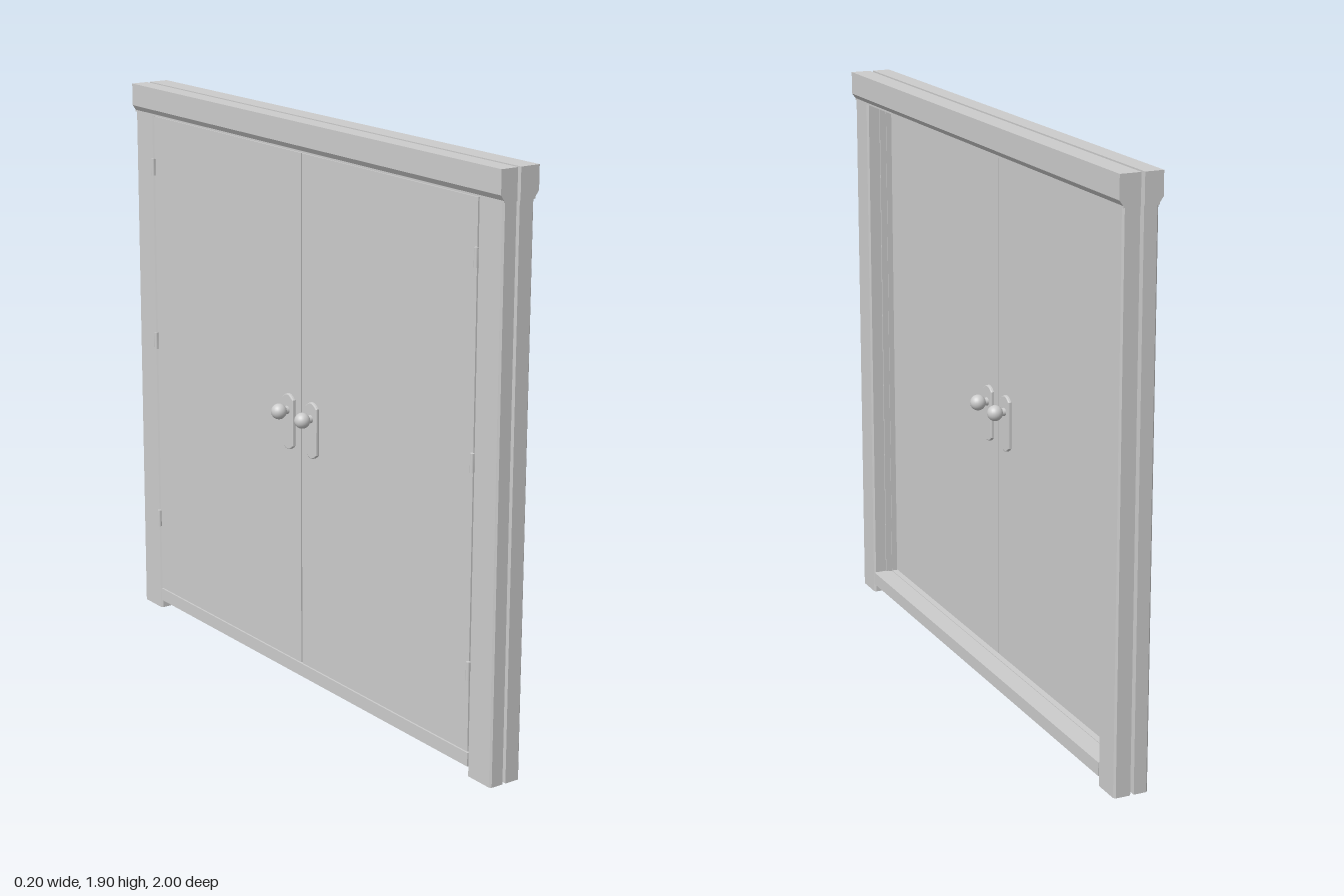
import * as THREE from 'three';

const grey = new THREE.MeshStandardMaterial({ color: 0xcccccc });

function add(parent, name, geometry, x = 0, y = 0, z = 0) {
  const mesh = new THREE.Mesh(geometry, grey);
  mesh.name = name;
  mesh.position.set(x, y, z);
  parent.add(mesh);
  return mesh;
}

// Box given by its limits on each axis
function block(parent, name, [x0, x1], [y0, y1], [z0, z1]) {
  return add(parent, name, new THREE.BoxGeometry(x1 - x0, y1 - y0, z1 - z0),
    (x0 + x1) / 2, (y0 + y1) / 2, (z0 + z1) / 2);
}

function polygon(points) {
  return new THREE.Shape(points.map(([x, y]) => new THREE.Vector2(x, y)));
}

// Hollow upright: chamfered section in x/z, open at the foot
function postGeometry(x0, x1, inner, outerIsRight, side) {
  const c = 0.006, end = 0.997;
  const section = outerIsRight
    ? [[x0, inner], [x1 - c, inner], [x1, inner + c], [x1, end - c], [x1 - c, end], [x0, end]]
    : [[x0 + c, inner], [x1, inner], [x1, end], [x0 + c, end], [x0, end - c], [x0, inner + c]];
  const shape = polygon(section.map(([x, z]) => [x, z * -side]));
  const solid = new THREE.ExtrudeGeometry(shape, { depth: 1.82, bevelEnabled: false });
  const walls = solid.groups[1];
  const open = new THREE.BufferGeometry();
  for (const key of ['position', 'normal', 'uv']) {
    const a = solid.attributes[key], n = a.itemSize;
    const part = a.array.slice(walls.start * n, (walls.start + walls.count) * n);
    open.setAttribute(key, new THREE.BufferAttribute(part, n));
  }
  return open.rotateX(-Math.PI / 2);
}

// Handle plate with arched ends, lying in x/y and centred
function plateGeometry() {
  const w = 0.031, h = 0.078, tip = 0.111;
  const s = new THREE.Shape();
  s.moveTo(-w, -h);
  s.quadraticCurveTo(0, -tip, w, -h);
  s.lineTo(w, h);
  s.quadraticCurveTo(0, tip, -w, h);
  s.closePath();
  return new THREE.ExtrudeGeometry(s, {
    depth: 0.006, bevelEnabled: true, bevelThickness: 0.004, bevelSize: 0.003,
    bevelOffset: -0.003, bevelSegments: 2, curveSegments: 8,
  });
}

// Plate, stem and ball; built facing +z, then turned towards +x or -x
function handle(facing) {
  const g = new THREE.Group();
  g.name = 'doorHandle';
  add(g, 'handlePlate', plateGeometry(), 0, -0.04, 0);
  add(g, 'handleStem', new THREE.CylinderGeometry(0.012, 0.014, 0.035, 16).rotateX(Math.PI / 2), 0, 0, 0.02);
  add(g, 'handleKnob', new THREE.SphereGeometry(0.026, 24, 16), 0, 0, 0.043);
  g.rotation.y = facing * Math.PI / 2;
  return g;
}

export function createModel() {
  const model = new THREE.Group();
  model.name = 'doubleDoor';

  // Two casings with a slit between them
  const casings = [
    { x0: -0.03, x1: 0.018, inner: 0.885, right: false,
      lintel: [[-0.03, 1.802], [0.018, 1.802], [0.018, 1.9], [-0.042, 1.9], [-0.042, 1.825], [-0.03, 1.808]] },
    { x0: 0.03, x1: 0.085, inner: 0.893, right: true,
      lintel: [[0.03, 1.802], [0.085, 1.802], [0.085, 1.808], [0.098, 1.825], [0.098, 1.9], [0.03, 1.9]] },
  ];
  for (const c of casings) {
    const casing = new THREE.Group();
    casing.name = c.right ? 'rightCasing' : 'leftCasing';
    model.add(casing);
    for (const side of [1, -1]) add(casing, 'post', postGeometry(c.x0, c.x1, c.inner, c.right, side));
    const lintel = new THREE.ExtrudeGeometry(polygon(c.lintel), { depth: 2, bevelEnabled: false });
    add(casing, 'lintel', lintel, 0, 0, -1);
    block(casing, 'threshold', [c.x0, c.x1], [0.03, 0.075], [-c.inner, c.inner]);
  }

  // Thin jamb lining that joins the casings inside the slit
  const jamb = new THREE.Group();
  jamb.name = 'jamb';
  model.add(jamb);
  for (const s of [1, -1]) block(jamb, 'jambSide', [0.01, 0.04], [0.035, 1.81], s > 0 ? [0.888, 0.915] : [-0.915, -0.888]);
  block(jamb, 'jambTop', [0.016, 0.032], [1.802, 1.815], [-0.915, 0.915]);
  block(jamb, 'jambBottom', [0.016, 0.032], [0.035, 0.073], [-0.9, 0.9]);

  // Door leaves, each with hinges and a handle on both faces
  for (const s of [1, -1]) {
    const leaf = new THREE.Group();
    leaf.name = s > 0 ? 'frontDoorLeaf' : 'backDoorLeaf';
    model.add(leaf);
    block(leaf, 'doorPanel', [-0.028, 0.0], [0.078, 1.8], s > 0 ? [0.003, 0.882] : [-0.882, -0.003]);
    for (const y of [0.345, 1.005, 1.625]) {
      add(leaf, 'hinge', new THREE.CylinderGeometry(0.007, 0.007, 0.06, 12), -0.033, y, s * 0.884);
    }
    for (const facing of [1, -1]) {
      const h = handle(facing);
      h.position.set(facing > 0 ? 0.001 : -0.029, 0.945, s * 0.066);
      leaf.add(h);
    }
  }
  return model;
}
